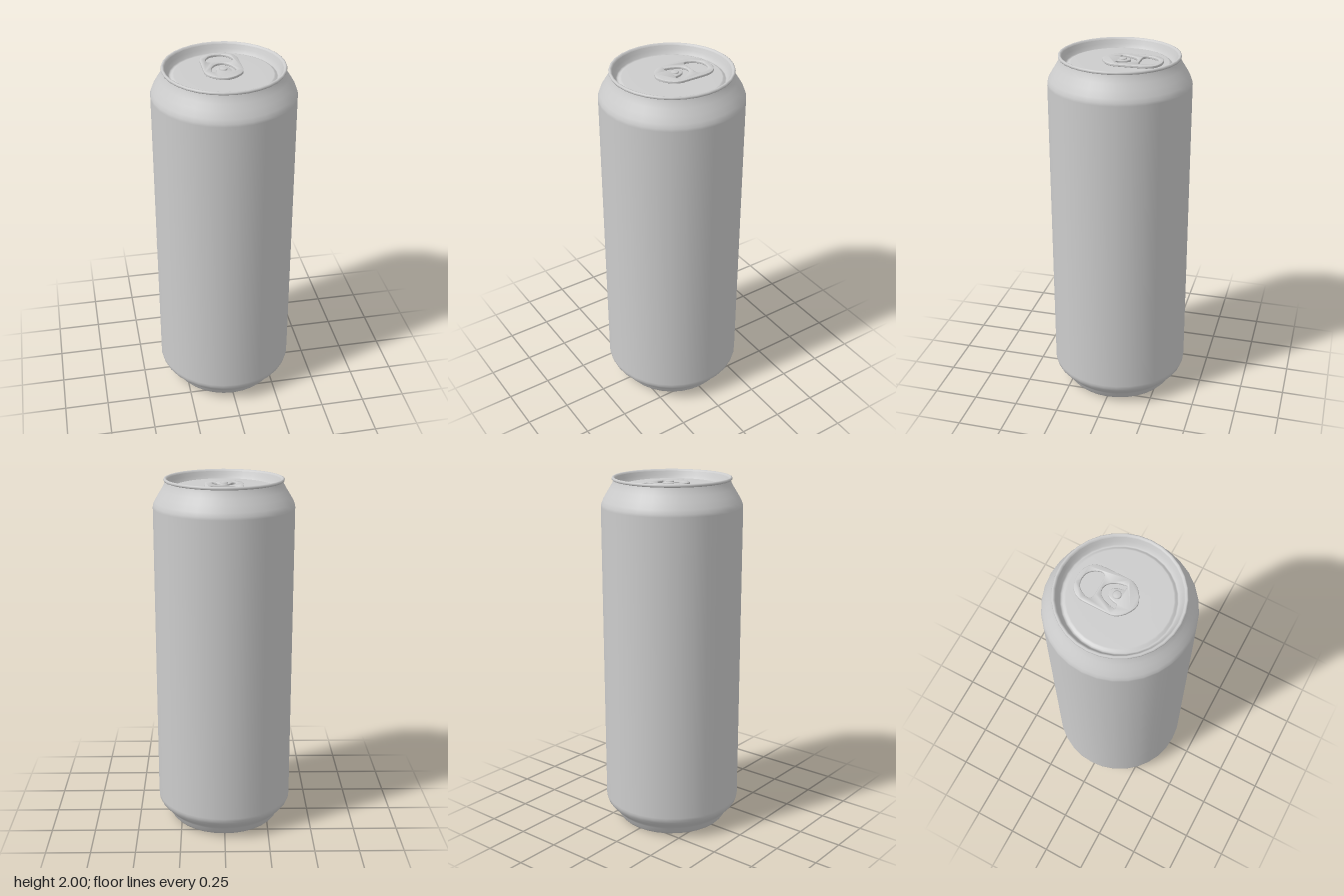
import * as THREE from 'three';
import { toCreasedNormals } from 'three/addons/utils/BufferGeometryUtils.js';

const SIDES = 32;

export function createModel() {
  const can = new THREE.Group();
  can.name = 'drinkCan';
  const aluminium = new THREE.MeshStandardMaterial({ color: 0xcccccc });
  aluminium.name = 'aluminium';

  const add = (name, geometry) => {
    const mesh = new THREE.Mesh(geometry, aluminium);
    mesh.name = name;
    can.add(mesh);
    return mesh;
  };
  const turned = (name, points) =>
    add(name, new THREE.LatheGeometry(points.map(([r, y]) => new THREE.Vector2(r, y)), SIDES));

  // Domed underside, from the centre out to the standing ring
  turned('baseDome', [
    [0, 0.12], [0.08, 0.114], [0.16, 0.094], [0.225, 0.062], [0.265, 0.028], [0.282, 0.006], [0.29, 0],
  ]);

  // Standing ring, straight wall and tapered neck
  turned('body', [
    [0.29, 0], [0.303, 0.004], [0.316, 0.02], [0.327, 0.045], [0.337, 0.06], [0.362, 0.083],
    [0.38, 0.106], [0.387, 0.125], [0.388, 0.14],
    [0.388, 1.84], [0.386, 1.855], [0.378, 1.876], [0.358, 1.91], [0.338, 1.942], [0.325, 1.965], [0.319, 1.982],
  ]);

  // Rolled rim
  turned('rim', [
    [0.319, 1.982], [0.325, 1.984], [0.328, 1.99], [0.326, 1.997], [0.32, 2], [0.313, 1.997], [0.309, 1.99],
  ]);

  // Recessed lid with its countersunk groove
  turned('lid', [
    [0.309, 1.99], [0.3, 1.968], [0.29, 1.948], [0.283, 1.943], [0.276, 1.945], [0.268, 1.953], [0.26, 1.955],
    [0.15, 1.956], [0, 1.956],
  ]);

  // Pull tab outline (shape y points to the back of the can)
  const tab = new THREE.Shape();
  tab.moveTo(0, -0.092);
  tab.bezierCurveTo(0.035, -0.09, 0.1, -0.05, 0.1, 0);
  tab.lineTo(0.1, 0.14);
  tab.bezierCurveTo(0.1, 0.2, 0.06, 0.231, 0, 0.231);
  tab.bezierCurveTo(-0.06, 0.231, -0.1, 0.2, -0.1, 0.14);
  tab.lineTo(-0.1, 0);
  tab.bezierCurveTo(-0.1, -0.05, -0.035, -0.09, 0, -0.092);

  // Finger hole
  const finger = new THREE.Path();
  finger.moveTo(-0.045, 0.109);
  finger.lineTo(0.045, 0.109);
  finger.bezierCurveTo(0.075, 0.109, 0.085, 0.13, 0.075, 0.155);
  finger.bezierCurveTo(0.06, 0.195, 0.035, 0.211, 0, 0.211);
  finger.bezierCurveTo(-0.035, 0.211, -0.06, 0.195, -0.075, 0.155);
  finger.bezierCurveTo(-0.085, 0.13, -0.075, 0.109, -0.045, 0.109);

  // Arched slot around the rivet tongue
  const slot = new THREE.Path();
  slot.moveTo(-0.071, -0.005);
  slot.bezierCurveTo(-0.064, 0.065, -0.035, 0.099, 0, 0.099);
  slot.bezierCurveTo(0.035, 0.099, 0.064, 0.065, 0.071, -0.005);
  slot.bezierCurveTo(0.068, -0.016, 0.045, -0.016, 0.037, -0.005);
  slot.bezierCurveTo(0.034, 0.035, 0.02, 0.056, 0, 0.056);
  slot.bezierCurveTo(-0.02, 0.056, -0.034, 0.035, -0.037, -0.005);
  slot.bezierCurveTo(-0.045, -0.016, -0.068, -0.016, -0.071, -0.005);
  tab.holes.push(finger, slot);

  const tabGeometry = new THREE.ExtrudeGeometry(tab, {
    depth: 0.006, bevelEnabled: true, bevelThickness: 0.004, bevelSize: 0.004, bevelSegments: 3, curveSegments: 6,
  });
  tabGeometry.rotateX(-Math.PI / 2);
  add('pullTab', toCreasedNormals(tabGeometry, 0.9)).position.y = 1.962;

  // Rivet holding the tab to the lid
  const rivet = turned('rivet', [[0.022, 1.954], [0.022, 1.975], [0.017, 1.978], [0, 1.979]]);
  rivet.position.z = -0.016;

  return can;
}
